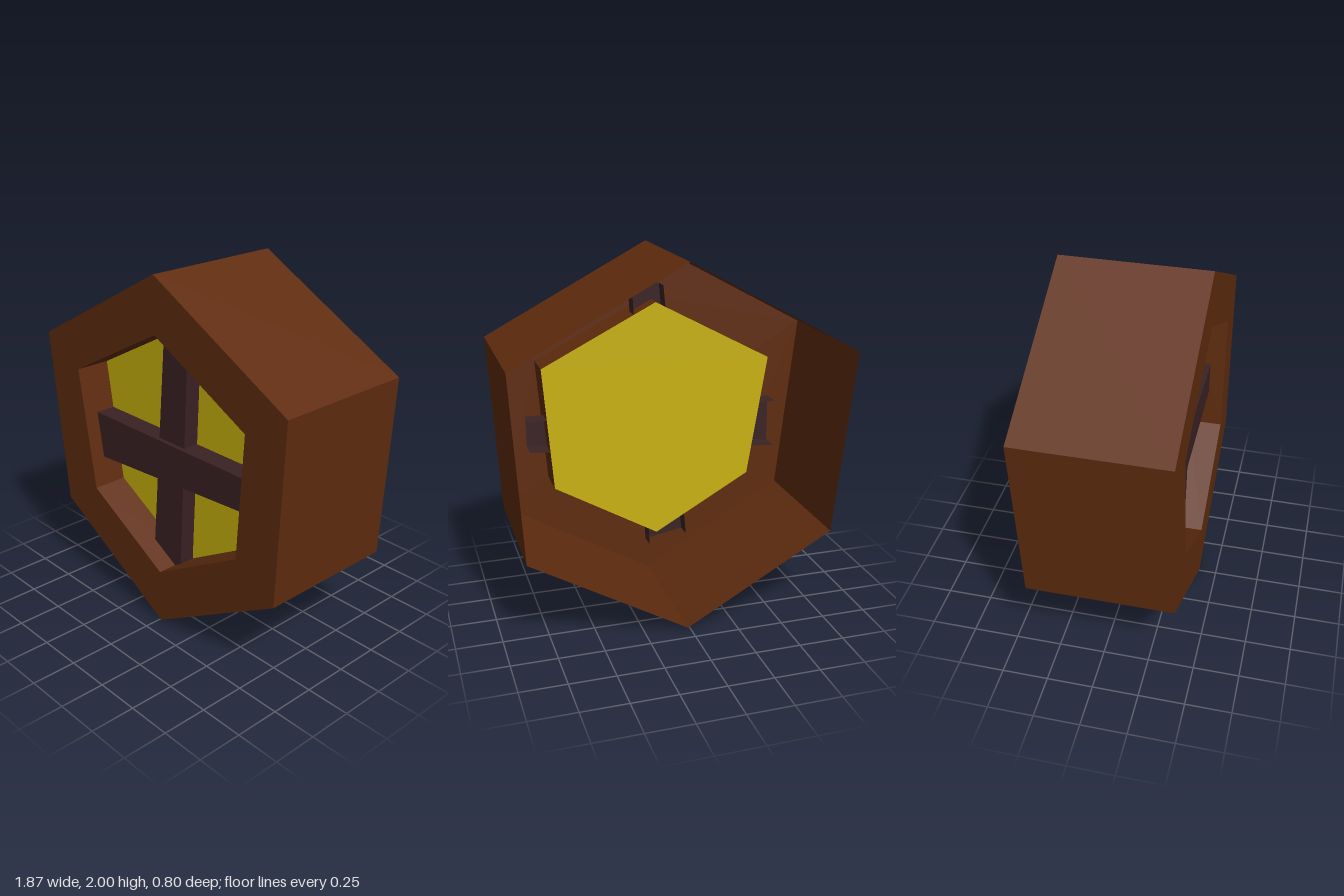
import * as THREE from 'three';

const mat = (name, color) => new THREE.MeshStandardMaterial({ name, color, side: THREE.DoubleSide });

// Outlines run clockwise as seen from the front
const OUTER = [[0.01, 2], [0.93, 1.515], [0.875, 0.5], [0.01, 0], [-0.82, 0.47], [-0.935, 1.485]];
const HOLE = [[0.01, 1.69], [0.66, 1.36], [0.607, 0.66], [0.01, 0.315], [-0.55, 0.63], [-0.665, 1.33]];
const UPRIGHT = [[-0.035, 1.78], [0.144, 1.78], [0.053, 0.24], [-0.172, 0.28]];
const CROSSBAR = [[-0.72, 1.06], [0.738, 1.065], [0.738, 0.888], [-0.72, 0.785]];

const FRONT = 0.4, BACK = -0.4, PANE = 0.2;

const toVectors = (pts) => pts.map(([x, y]) => new THREE.Vector2(x, y));

// Flat sheet with an optional hole
function sheet(pts, z, hole) {
  const shape = new THREE.Shape(toVectors(pts));
  if (hole) shape.holes.push(new THREE.Path(toVectors(hole)));
  return new THREE.ShapeGeometry(shape).translate(0, 0, z);
}

// Flat-sided walls from z0 to z1 along the chosen edges of an outline
function walls(pts, z0, z1, edges = pts.map((_, i) => i)) {
  const pos = [];
  for (const i of edges) {
    const p = pts[i], q = pts[(i + 1) % pts.length];
    const a = [...p, z0], b = [...q, z0], c = [...q, z1], d = [...p, z1];
    pos.push(...a, ...b, ...c, ...a, ...c, ...d);
  }
  const g = new THREE.BufferGeometry();
  g.setAttribute('position', new THREE.Float32BufferAttribute(pos, 3));
  g.computeVertexNormals();
  return g;
}

export function createModel() {
  const model = new THREE.Group();
  model.name = 'hexagonalWindow';
  const wood = mat('brownWood', 0x5f2c0e);
  const glass = mat('yellowGlass', 0xc9b10f);
  const dark = mat('darkWood', 0x3a2224);

  const add = (parent, name, geometry, material) => {
    const mesh = new THREE.Mesh(geometry, material);
    mesh.name = name;
    parent.add(mesh);
  };

  // Frame, open at the back
  const frame = new THREE.Group();
  frame.name = 'frame';
  add(frame, 'frameFront', sheet(OUTER, FRONT, HOLE), wood);
  add(frame, 'outerWalls', walls(OUTER, FRONT, BACK), wood);
  add(frame, 'innerWalls', walls(HOLE, PANE, FRONT), wood);
  model.add(frame);

  // Pane set back in the opening
  add(model, 'pane', sheet(HOLE, PANE), glass);

  // Bars are open channels whose ends run through the inner walls
  const bar = (name, pts, z, edges) => {
    const group = new THREE.Group();
    group.name = name;
    add(group, name + 'Face', sheet(pts, z), dark);
    add(group, name + 'Sides', walls(pts, z, PANE, edges), dark);
    model.add(group);
  };
  bar('uprightBar', UPRIGHT, 0.29, [1, 3]);
  bar('crossBar', CROSSBAR, 0.315, [0, 2]);

  return model;
}
